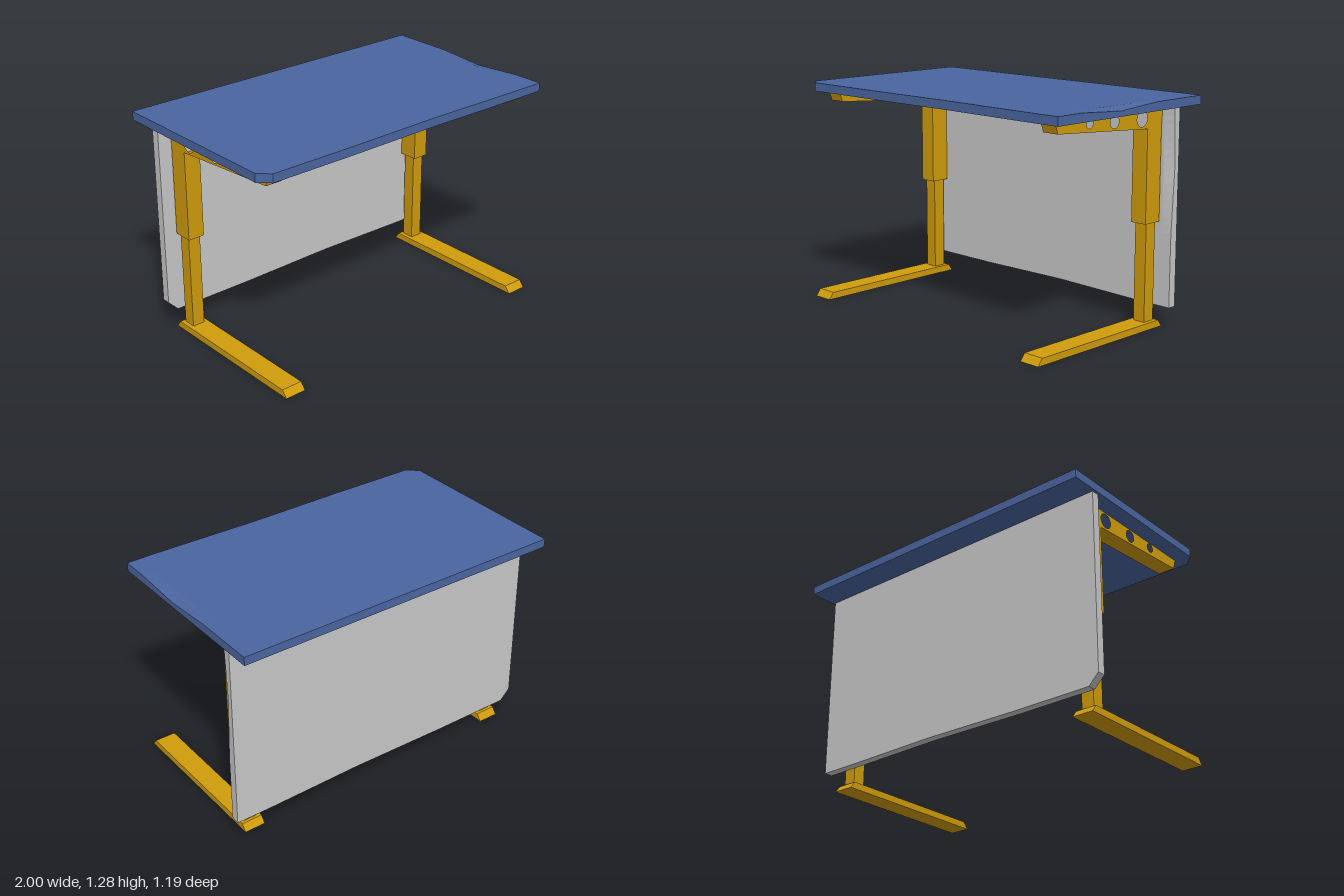
import * as THREE from 'three';

const blue = new THREE.MeshStandardMaterial({ name: 'blue laminate', color: 0x4a66a0, flatShading: true });
const grey = new THREE.MeshStandardMaterial({ name: 'light grey panel', color: 0xc8c8c8, flatShading: true });
const yellow = new THREE.MeshStandardMaterial({ name: 'golden yellow metal', color: 0xd09c0c, flatShading: true });

// Board with a clipped front corner at -x, a slightly wavy front edge and a shallow dent on the +x edge
function board(width, thickness, depth, dentZ, dentReach) {
  const geo = new THREE.BoxGeometry(width, thickness, depth, 32, 1, 24);
  const p = geo.attributes.position;
  const hw = width / 2, hd = depth / 2, clip = width / 32;
  for (let i = 0; i < p.count; i++) {
    const x = p.getX(i), y = p.getY(i), z = p.getZ(i);
    if (z > hd - 1e-4) {
      const wave = Math.max(0, 1 - Math.abs(x - 0.17) / 0.6);
      p.setZ(i, hd - 0.009 * wave);
    }
    p.setZ(i, Math.min(p.getZ(i), hd - clip + (x + hw)));
    if (y > 0 && x > hw - 1e-4) {
      p.setY(i, y - 0.02 * Math.max(0, 1 - Math.abs(z - dentZ) / dentReach));
    }
  }
  geo.computeVertexNormals();
  return geo;
}

// Side profile given as [z, y] points, extruded across x and centred
function sideProfile(points, width, holes = []) {
  const shape = new THREE.Shape(points.map(([z, y]) => new THREE.Vector2(z, y)));
  for (const [z, y, r] of holes) {
    shape.holes.push(new THREE.Path().absarc(z, y, r, 0, Math.PI * 2, true));
  }
  const geo = new THREE.ExtrudeGeometry(shape, { depth: width, bevelEnabled: false, curveSegments: 16 });
  return geo.translate(0, 0, -width / 2).rotateY(-Math.PI / 2);
}

function add(parent, name, geo, material, x = 0, y = 0, z = 0) {
  const mesh = new THREE.Mesh(geo, material);
  mesh.name = name;
  mesh.position.set(x, y, z);
  parent.add(mesh);
  return mesh;
}

export function createModel() {
  const desk = new THREE.Group();
  desk.name = 'desk';

  // Table top and the upright panel hanging behind the legs
  add(desk, 'tableTop', board(2, 0.05, 1.15, 0.1, 0.3), blue, 0, 1.26, -0.025);
  const panel = add(desk, 'modestyPanel', board(1.97, 0.05, 1.115, -0.25, 0.4), grey, 0, 0.6775, -0.41);
  panel.rotation.x = Math.PI / 2;

  // Outer column with its tapered, perforated support arm
  const armGeo = sideProfile(
    [[0.47, 1.235], [0.45, 1.175], [-0.26, 1.125], [-0.26, 0.6], [-0.378, 0.6], [-0.378, 1.125], [-0.385, 1.235]],
    0.1,
    [[0.21, 1.204, 0.026], [0.015, 1.192, 0.035], [-0.212, 1.184, 0.043]]
  );
  // Telescoping inner column
  const columnGeo = new THREE.BoxGeometry(0.075, 0.565, 0.076);
  // Foot with sloped ends
  const footGeo = sideProfile([[0.595, 0], [0.563, 0.04], [-0.375, 0.04], [-0.405, 0]], 0.126);

  for (const side of [-1, 1]) {
    const leg = new THREE.Group();
    leg.name = side > 0 ? 'leftLeg' : 'rightLeg';
    leg.position.x = side * 0.857;
    add(leg, 'outerColumnAndArm', armGeo, yellow);
    add(leg, 'innerColumn', columnGeo, yellow, 0, 0.3225, -0.32);
    add(leg, 'foot', footGeo, yellow);
    desk.add(leg);
  }
  return desk;
}
